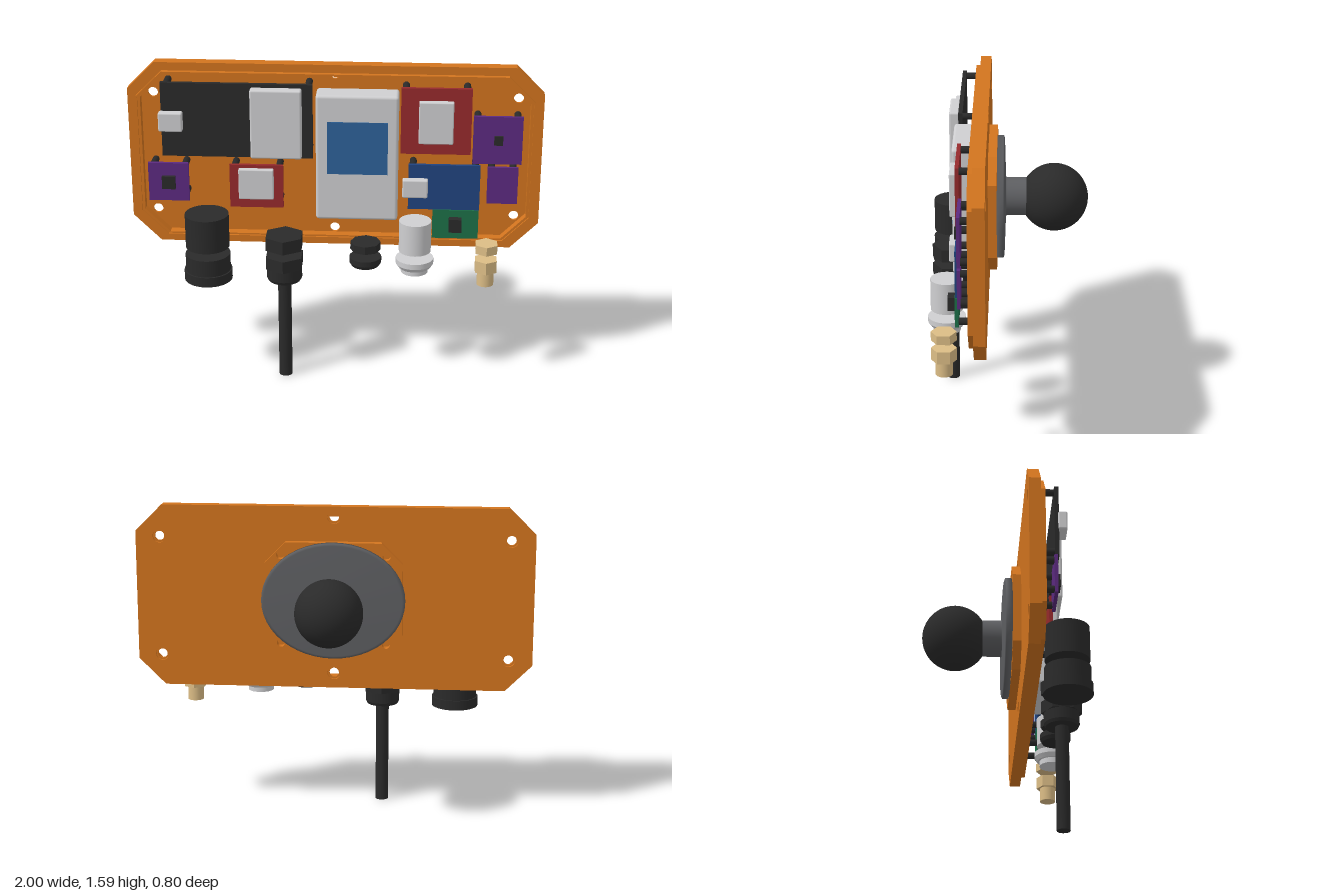
import * as THREE from 'three';
import { RoundedBoxGeometry } from 'three/addons/geometries/RoundedBoxGeometry.js';

const material = (name, color, extra = {}) => {
  const m = new THREE.MeshStandardMaterial({ color, ...extra });
  m.name = name;
  return m;
};

export function createModel() {
  const model = new THREE.Group();
  model.name = 'sensorPanel';
  const orange = material('orange', 0xd2741e);
  const black = material('black', 0x2a2a2a);
  const grey = material('grey', 0x5e5f62);
  const silver = material('silver', 0xcfcfd1);
  const red = material('red', 0x962a2c);
  const purple = material('purple', 0x5c2a80);
  const blue = material('blue', 0x20437f);
  const screenBlue = material('screenBlue', 0x2d6299);
  const green = material('green', 0x1c7048);
  const gold = material('gold', 0xdcbd86);

  const CY = 1.125;   // height of the panel centre
  const FLOOR = 0.11; // inner floor of the tray
  const CZ = 0.282;   // depth of the connector axes

  const add = (name, geo, mat, x = 0, y = 0, z = 0, parent = model) => {
    const mesh = new THREE.Mesh(geo, mat);
    mesh.name = name;
    mesh.position.set(x, y, z);
    parent.add(mesh);
    return mesh;
  };

  // Octagon with chamfered corners, and plates extruded from it
  const octagon = (Type, w, h, c) => {
    const s = new Type();
    s.setFromPoints([[w - c, -h], [w, c - h], [w, h - c], [w - c, h], [c - w, h], [-w, h - c], [-w, c - h], [c - w, -h]]
      .map(([x, y]) => new THREE.Vector2(x, y)));
    s.closePath();
    return s;
  };
  const plate = (name, size, holes, z0, z1) => {
    const shape = octagon(THREE.Shape, ...size);
    shape.holes = holes;
    const geo = new THREE.ExtrudeGeometry(shape, { depth: z1 - z0, bevelEnabled: false, curveSegments: 16 });
    add(name, geo, orange, 0, CY, z0);
  };
  const round = (r) => ([x, y]) => new THREE.Path().absarc(x, y, r, 0, Math.PI * 2, true);

  // Tray: counterbored back, floor, stepped rim and sealing lip
  const screws = [[0, 0.412], [0, -0.388]];
  for (const sx of [-1, 1]) for (const sy of [-1, 1]) screws.push([sx * 0.88, sy * 0.305]);
  const outer = [1, 0.465, 0.135];
  const inner = () => octagon(THREE.Path, 0.937, 0.412, 0.12);
  plate('trayBack', outer, screws.map(round(0.033)), 0.084, 0.097);
  plate('trayFloor', outer, screws.map(round(0.024)), 0.097, FLOOR);
  plate('trayRim', outer, [inner()], FLOOR, 0.14);
  plate('outerLip', [0.958, 0.425, 0.128], [octagon(THREE.Path, 0.95, 0.42, 0.125)], 0.14, 0.164);
  plate('innerLip', [0.95, 0.42, 0.125], [inner()], 0.14, 0.155);

  // Mounting boss with corner holes
  const bossHoles = [];
  for (const sx of [-1, 1]) for (const sy of [-1, 1]) bossHoles.push([sx * 0.265, sy * 0.225]);
  plate('mountBoss', [0.345, 0.29, 0.105], bossHoles.map(round(0.02)), 0.042, 0.084);

  // Ball mount: oval base, neck, ball
  const lathe = (pts) => new THREE.LatheGeometry(pts.map(([r, y]) => new THREE.Vector2(r, y)), 48);
  const base = add('mountBase', lathe([[0, 0], [0.36, 0], [0.36, 0.03], [0.345, 0.035], [0.1, 0.042], [0, 0.042]]),
    grey, 0, CY, 0.042);
  base.rotation.x = -Math.PI / 2;
  base.scale.z = 0.815;
  const neck = add('mountNeck', lathe([[0.1, 0], [0.093, 0.012], [0.093, 0.15]]), grey, 0, CY, 0.005);
  neck.rotation.x = -Math.PI / 2;
  add('mountBall', new THREE.SphereGeometry(0.167, 48, 32), black, 0, CY - 0.003, -0.237);

  // Box given by its limits, optionally with rounded edges
  const box = (name, mat, [x0, x1, y0, y1, z0, z1], r = 0, parent = model) => {
    const d = [x1 - x0, y1 - y0, z1 - z0];
    const geo = r ? new RoundedBoxGeometry(...d, 2, r) : new THREE.BoxGeometry(...d);
    return add(name, geo, mat, (x0 + x1) / 2, (y0 + y1) / 2, (z0 + z1) / 2, parent);
  };

  // Circuit boards: each on four standoffs, with its chips
  const boards = [
    { name: 'mainBoard', mat: black, at: [-0.825, -0.1, 1.15, 1.52], z: [0.215, 0.236],
      chips: [[silver, -0.395, -0.15, 1.16, 1.505, 0.284, 0.01], [silver, -0.835, -0.72, 1.285, 1.38, 0.276, 0.008]] },
    { name: 'upperRedBoard', mat: red, at: [0.32, 0.655, 1.18, 1.51], z: [0.208, 0.226],
      chips: [[silver, 0.405, 0.57, 1.24, 1.45, 0.256, 0.006]] },
    { name: 'lowerRedBoard', mat: red, at: [-0.505, -0.245, 0.885, 1.105], z: [0.208, 0.226],
      chips: [[silver, -0.46, -0.29, 0.935, 1.09, 0.252, 0.006]] },
    { name: 'upperPurpleBoard', mat: purple, at: [0.665, 0.9, 1.13, 1.37], z: [0.197, 0.213],
      chips: [[black, 0.765, 0.807, 1.23, 1.275, 0.226, 0]] },
    { name: 'lowerPurpleBoard', mat: purple, at: [0.74, 0.887, 0.925, 1.112], z: [0.197, 0.213], chips: [] },
    { name: 'leftPurpleBoard', mat: purple, at: [-0.902, -0.705, 0.91, 1.105], z: [0.205, 0.222],
      chips: [[black, -0.835, -0.77, 0.975, 1.04, 0.238, 0]] },
    { name: 'blueBoard', mat: blue, at: [0.36, 0.705, 0.895, 1.125], z: [0.212, 0.23],
      chips: [[silver, 0.332, 0.455, 0.965, 1.058, 0.266, 0.008]] },
    { name: 'greenBoard', mat: green, at: [0.48, 0.703, 0.745, 0.893], z: [0.214, 0.232],
      chips: [[black, 0.56, 0.622, 0.79, 0.857, 0.268, 0]] },
  ];
  for (const { name, mat, at, z, chips } of boards) {
    const group = new THREE.Group();
    group.name = name;
    model.add(group);
    box('circuitBoard', mat, [...at, ...z], 0, group);
    for (const [m, x0, x1, y0, y1, top, r] of chips) box('chip', m, [x0, x1, y0, y1, z[1] - 0.004, top], r, group);
    const len = z[0] - FLOOR;
    for (const x of [at[0] + 0.022, at[1] - 0.022]) for (const y of [at[2] + 0.022, at[3] - 0.022]) {
      const post = new THREE.CylinderGeometry(0.017, 0.017, len, 12);
      add('standoff', post, black, x, y, FLOOR + len / 2, group).rotation.x = Math.PI / 2;
    }
  }

  // Display module
  box('displayBody', silver, [-0.085, 0.31, 0.84, 1.475, 0.13, 0.255], 0.015);
  box('displayScreen', screenBlue, [-0.03, 0.26, 1.08, 1.345, 0.252, 0.258]);

  // Connectors: stacked sections [bottom, top, bottom radius, top radius, sides]
  const connector = (name, mat, x, sections) => {
    const group = new THREE.Group();
    group.name = name;
    model.add(group);
    for (const [y0, y1, r0, r1, sides] of sections) {
      const geo = new THREE.CylinderGeometry(r1, r0, y1 - y0, sides);
      const flat = sides < 12 ? geo.toNonIndexed() : geo;
      if (sides < 12) flat.computeVertexNormals();
      add('section', flat, mat, x, (y0 + y1) / 2, CZ, group);
    }
  };
  connector('largeConnector', black, -0.615, [
    [0.7, 0.87, 0.107, 0.107, 32], [0.575, 0.662, 0.11, 0.11, 32], [0.527, 0.577, 0.118, 0.118, 32]]);
  connector('cableGland', black, -0.239, [
    [0.7, 0.767, 0.1, 0.1, 6], [0.6, 0.662, 0.1, 0.1, 6], [0.545, 0.6, 0.087, 0.087, 32],
    [0.53, 0.545, 0.08, 0.087, 32], [0, 0.53, 0.033, 0.033, 24]]);
  connector('ventPlug', black, 0.158, [
    [0.7, 0.74, 0.074, 0.074, 8], [0.635, 0.662, 0.078, 0.078, 24], [0.618, 0.635, 0.068, 0.078, 24]]);
  connector('silverConnector', silver, 0.398, [
    [0.7, 0.857, 0.078, 0.078, 32], [0.635, 0.662, 0.092, 0.092, 32], [0.615, 0.635, 0.078, 0.092, 32],
    [0.588, 0.615, 0.066, 0.066, 32]]);
  connector('antennaConnector', gold, 0.745, [
    [0.7, 0.745, 0.06, 0.06, 6], [0.6, 0.662, 0.06, 0.06, 6], [0.527, 0.6, 0.041, 0.041, 24]]);

  return model;
}
